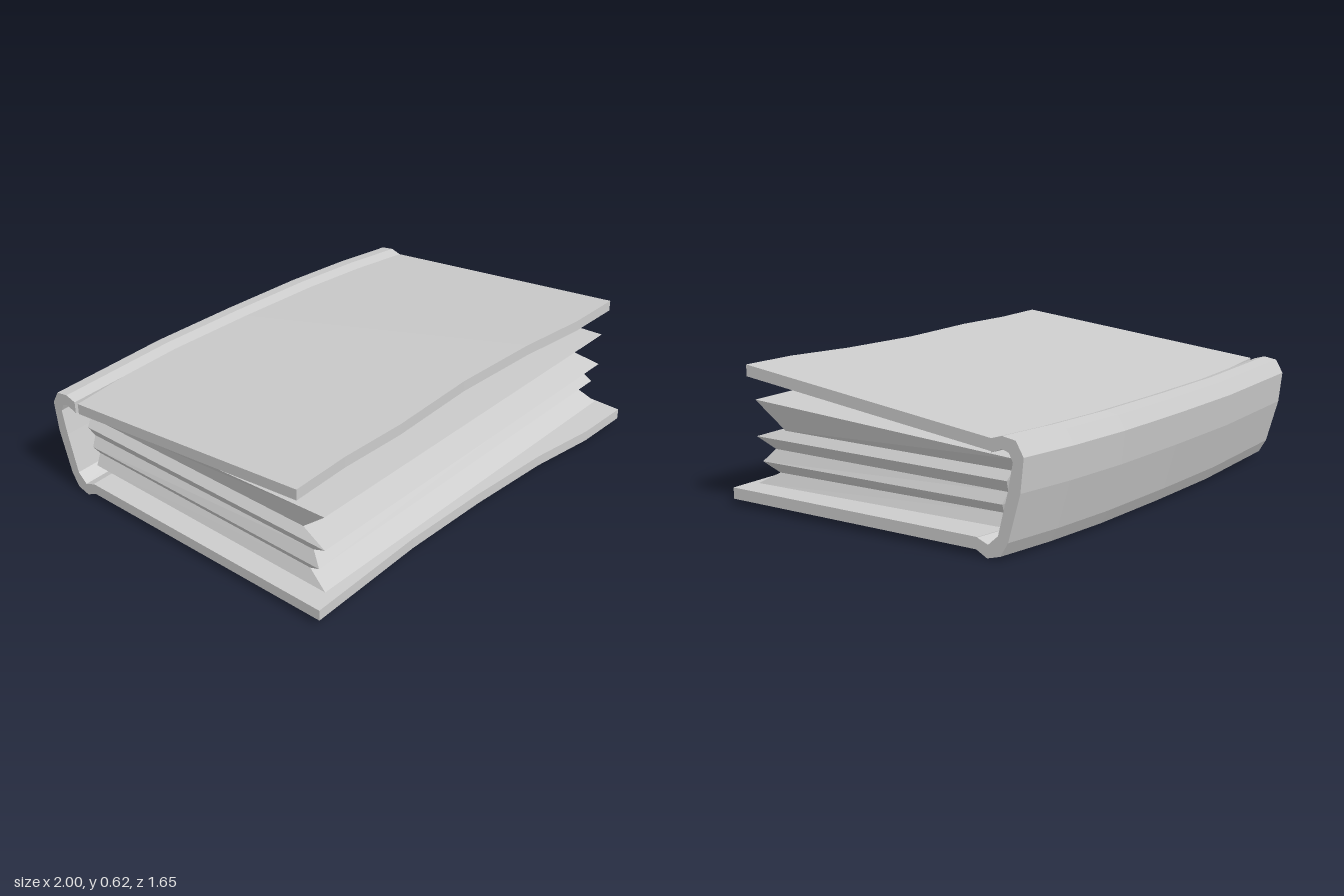
import * as THREE from 'three';

// Stations along the width and the sideways bow (z shift) of the book there
const X = [-1, -0.72, -0.41, 0.02, 0.43, 0.74, 1];
const BOW = [-0.18, -0.18, -0.18, -0.15, -0.11, -0.06, 0];

// Closed skin through rings of equal length; flat(p) gives each ring's 2D outline for the end caps
function loft(name, rings, flat) {
  const n = rings[0].length, tris = [];
  for (let i = 0; i < rings.length - 1; i++) {
    for (let j = 0; j < n; j++) {
      const k = (j + 1) % n, a = rings[i], b = rings[i + 1];
      tris.push([a[j], a[k], b[k]], [a[j], b[k], b[j]]);
    }
  }
  [rings[0], rings[rings.length - 1]].forEach((ring, end) => {
    const outline = ring.map((p) => new THREE.Vector2(...flat(p)));
    const sign = Math.sign(THREE.ShapeUtils.area(outline));
    for (const f of THREE.ShapeUtils.triangulateShape(outline.slice(), [])) {
      const same = Math.sign(THREE.ShapeUtils.area(f.map((q) => outline[q]))) === sign;
      const t = f.map((q) => ring[q]);
      tris.push(same === (end === 1) ? t : t.reverse());
    }
  });
  // Turn all faces outward
  const v = tris.map((t) => t.map((p) => new THREE.Vector3(...p)));
  const volume = v.reduce((s, [a, b, c]) => s + a.dot(b.clone().cross(c)), 0);
  if (volume < 0) v.forEach((t) => t.reverse());
  const geometry = new THREE.BufferGeometry().setFromPoints(v.flat());
  geometry.computeVertexNormals();
  const mesh = new THREE.Mesh(geometry, new THREE.MeshStandardMaterial({ color: 0xcccccc, flatShading: true }));
  mesh.name = name;
  return mesh;
}

const sideOutline = (p) => [p[2], p[1]];
const topOutline = (p) => [p[0], p[2]];

export function createModel() {
  const book = new THREE.Group();
  book.name = 'book';

  // Curved spine: hooked [z, y] section swept along the bow
  const section = [
    [-0.5, 0.475], [-0.55, 0.49], [-0.61, 0.48], [-0.645, 0.42], [-0.63, 0.28], [-0.575, 0.08],
    [-0.54, 0.02], [-0.48, 0.003], [-0.43, 0.03],
    [-0.43, 0.08], [-0.485, 0.058], [-0.53, 0.1], [-0.575, 0.28], [-0.597, 0.395], [-0.58, 0.43],
    [-0.55, 0.44], [-0.5, 0.42],
  ];
  book.add(loft('spine', X.map((x, i) => section.map(([z, y]) => [x, y, z + BOW[i]])), sideOutline));

  // Bottom cover: level board with a wavy front edge
  const bottomFront = [0.69, 0.69, 0.69, 0.715, 0.755, 0.81, 0.825];
  book.add(loft('bottomCover', X.map((x, i) => {
    const f = bottomFront[i], b = -0.435 + BOW[i];
    return [[x, 0.03, b], [x, 0.08, b], [x, 0.08, f], [x, 0.03, f]];
  }), sideOutline));

  // Top cover: board rising toward the front
  const topFront = [0.585, 0.585, 0.61, 0.61, 0.65, 0.705, 0.72];
  const topBack = [-0.66, -0.68, -0.685, -0.655, -0.615, -0.565, -0.505];
  book.add(loft('topCover', X.map((x, i) => {
    const f = topFront[i], b = topBack[i], y = 0.625 - 0.14 * (0.72 - f);
    return [[x, 0.425, b], [x, 0.475, b], [x, y, f], [x, y - 0.05, f]];
  }), sideOutline));

  // Page block: fanned layers, [front y, back y, front z, back z, side inset]
  const layers = [
    [0.105, 0.12, 0.72, -0.505, 0], [0.16, 0.17, 0.62, -0.51, 0.027], [0.205, 0.21, 0.69, -0.52, 0],
    [0.26, 0.255, 0.64, -0.53, 0.027], [0.31, 0.305, 0.72, -0.54, 0], [0.345, 0.34, 0.585, -0.55, 0.03],
    [0.468, 0.395, 0.72, -0.59, 0],
  ];
  book.add(loft('pages', layers.map(([fy, by, f, b, inset]) => {
    const r = 0.955 - inset, l = -0.93 + inset;
    return [
      [l, fy + 0.005, f - 0.06], [r, fy, f],
      [r, by, b], [0.43, by, b - 0.09], [0.02, by, b - 0.13], [-0.41, by, b - 0.16], [l, by, b - 0.16],
    ];
  }), topOutline));

  return book;
}
